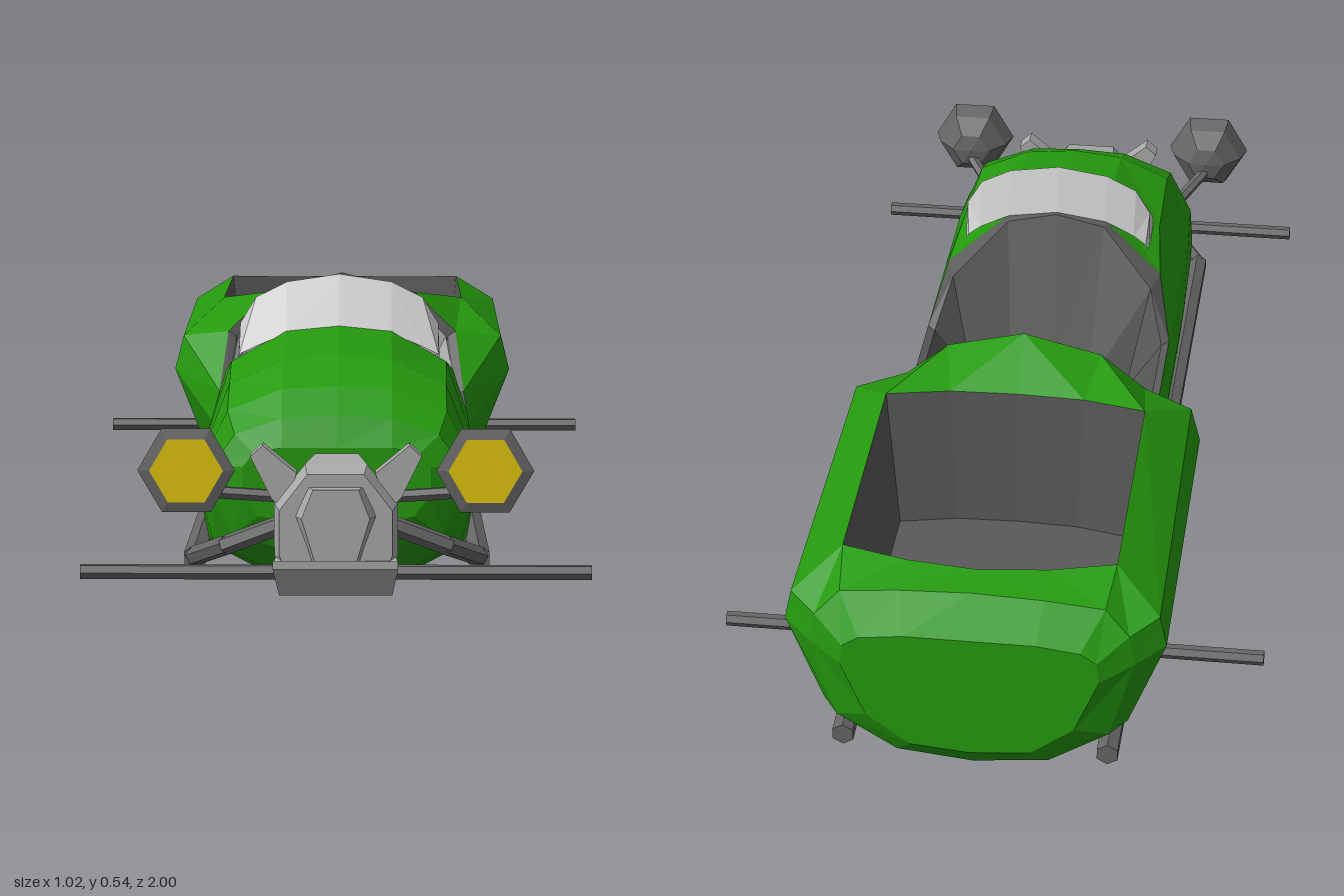
import * as THREE from 'three';

const mat = (color, side = THREE.FrontSide) =>
  new THREE.MeshStandardMaterial({ color, side, flatShading: true });
const green = mat(0x259a0e);
const iron = mat(0x666666);
const lining = mat(0x5a5a5a, THREE.DoubleSide);
const silver = mat(0xaaaaaa);
const upholstery = mat(0xaaaaaa, THREE.DoubleSide);
const glass = mat(0xcccccc, THREE.DoubleSide);
const yellow = mat(0xe0c40c);

function add(group, name, geometry, material) {
  const mesh = new THREE.Mesh(geometry, material);
  mesh.name = name;
  group.add(mesh);
  return mesh;
}

// Half section [x, y] or [x, y, own z], placed at z
const ring = (z, pts) => pts.map(([x, y, pz = z]) => [x, y, pz]);

// Skin half sections running front to back, mirrored across x = 0
function loft(rings, capFront = false, capBack = false) {
  const pos = [];
  const tri = (a, b, c) => {
    pos.push(...a, ...b, ...c);
    for (const p of [a, c, b]) pos.push(-p[0], p[1], p[2]);
  };
  const middle = (r) => [0, (r[0][1] + r.at(-1)[1]) / 2, (r[0][2] + r.at(-1)[2]) / 2];
  for (let k = 0; k < rings.length - 1; k++) {
    const f = rings[k], b = rings[k + 1];
    for (let i = 0; i < f.length - 1; i++) {
      tri(f[i], b[i], f[i + 1]);
      tri(b[i], b[i + 1], f[i + 1]);
    }
  }
  const first = rings[0], last = rings.at(-1);
  if (capFront) for (let i = 0; i < first.length - 1; i++) tri(middle(first), first[i], first[i + 1]);
  if (capBack) for (let i = 0; i < last.length - 1; i++) tri(middle(last), last[i + 1], last[i]);
  const g = new THREE.BufferGeometry();
  g.setAttribute('position', new THREE.Float32BufferAttribute(pos, 3));
  g.computeVertexNormals();
  return g;
}

// Chain of straight bars through the given points
function rods(group, name, points, r) {
  const up = new THREE.Vector3(0, 1, 0);
  for (let i = 0; i < points.length - 1; i++) {
    const a = new THREE.Vector3(...points[i]), b = new THREE.Vector3(...points[i + 1]);
    const dir = b.clone().sub(a);
    const m = add(group, name, new THREE.CylinderGeometry(r, r, dir.length() + r * 0.5, 6), iron);
    m.position.copy(a).add(b).multiplyScalar(0.5);
    m.quaternion.setFromUnitVectors(up, dir.normalize());
  }
}

export function createModel() {
  const model = new THREE.Group();
  model.name = 'sleigh';

  // Hull sections: keel, bilge, lower side, side, sill, shoulder, upper, crown
  const keel = [[0, 0.003], [0.14, 0.02], [0.25, 0.09], [0.26, 0.18], [0.25, 0.25]];
  const cowl = ring(0.16, [...keel, [0.22, 0.35, 0.26], [0.1, 0.44, 0.31], [0, 0.455, 0.315]]);
  const hump = ring(-0.1, [...keel, [0.235, 0.36, -0.2], [0.15, 0.44, -0.215], [0, 0.48, -0.22]]);

  add(model, 'hood', loft([
    ring(0.79, [[0, 0.14], [0.08, 0.145], [0.14, 0.16], [0.17, 0.2], [0.17, 0.25], [0.15, 0.275], [0.1, 0.285], [0, 0.285]]),
    ring(0.765, [[0, 0.09], [0.1, 0.095], [0.19, 0.12], [0.225, 0.19], [0.225, 0.25], [0.185, 0.305], [0.1, 0.335], [0, 0.34]]),
    ring(0.71, [[0, 0.035], [0.12, 0.045], [0.225, 0.09], [0.25, 0.18], [0.245, 0.25], [0.2, 0.34], [0.1, 0.38], [0, 0.385]]),
    ring(0.62, [[0, 0.012], [0.14, 0.025], [0.24, 0.09], [0.255, 0.18], [0.25, 0.25], [0.2, 0.375], [0.1, 0.42], [0, 0.43]]),
    ring(0.4, [...keel, [0.205, 0.385], [0.1, 0.445], [0, 0.455]]),
    cowl,
  ], true), green);

  add(model, 'middleHull', loft([ring(0.16, keel), ring(-0.1, keel)]), green);

  const side = [[0, 0.003], [0.14, 0.02], [0.28, 0.1], [0.348, 0.275], [0.33, 0.345]];
  const tailFront = ring(-0.24, [...side, [0.25, 0.41, -0.36], [0.13, 0.41, -0.335], [0, 0.41, -0.33]]);
  const tailBack = ring(-0.92, [...side.slice(0, 4), [0.335, 0.335], [0.25, 0.395, -0.85], [0.13, 0.39, -0.875], [0, 0.39, -0.89]]);
  add(model, 'rearShoulder', loft([hump, tailFront]), green);
  add(model, 'rearSides', loft([tailFront.slice(0, 6), tailBack.slice(0, 6)]), green);
  add(model, 'tail', loft([
    tailBack,
    ring(-0.965, [[0, 0.015], [0.14, 0.03], [0.25, 0.1], [0.295, 0.26], [0.285, 0.32], [0.24, 0.365, -0.95], [0.13, 0.375, -0.95], [0, 0.38, -0.95]]),
    ring(-1, [[0, 0.06], [0.11, 0.07], [0.19, 0.13], [0.235, 0.24], [0.23, 0.28], [0.2, 0.3], [0.12, 0.31], [0, 0.31]]),
  ], false, true), green);

  // Cockpit lining: edge trim around the cowl, then down to the floor
  add(model, 'cockpitLining', loft([
    [...cowl.slice(4).reverse(), ...hump.slice(4)],
    [[0, 0.455, 0.295], [0.1, 0.435, 0.29], [0.205, 0.34, 0.215], [0.235, 0.245, 0.15],
      ...ring(0, [[0.235, 0.245, -0.1], [0.22, 0.35, -0.2], [0.14, 0.43, -0.215], [0, 0.47, -0.22]])],
    ring(0, [[0, 0.12, 0.17], [0.08, 0.12, 0.17], [0.16, 0.12, 0.17], [0.165, 0.12, 0.14],
      [0.165, 0.12, -0.1], [0.16, 0.12, -0.2], [0.08, 0.12, -0.2], [0, 0.12, -0.2]]),
  ], false, true), lining);

  // Seat: rounded backrest, sloping cushion and front drop
  add(model, 'seat', loft([
    ring(-0.2, [[0, 0.47, -0.215], [0.14, 0.43, -0.21], [0.215, 0.35, -0.195], [0.235, 0.245, -0.105]]),
    ring(-0.19, [[0, 0.25], [0.09, 0.25], [0.16, 0.245], [0.205, 0.22, -0.12]]),
    ring(-0.02, [[0, 0.19], [0.09, 0.19], [0.16, 0.19], [0.175, 0.15]]),
    ring(-0.01, [[0, 0.12], [0.09, 0.12], [0.16, 0.12], [0.165, 0.12]]),
  ]), upholstery);

  // Cargo well drops from the rear rim to a floor
  const rim = [...tailFront.slice(5).reverse(), ...tailBack.slice(5)];
  add(model, 'cargoLining', loft([
    rim,
    rim.map(([x, , z]) => [x * 0.91, 0.12, -0.6 + (z + 0.6) * 0.97]),
  ], false, true), lining);

  // Windscreen: raked front, arched ridge, back face down to the cowl
  add(model, 'windscreen', loft([
    ring(0.41, [[0, 0.45], [0.1, 0.44], [0.16, 0.415], [0.19, 0.4], [0.192, 0.385, 0.39]]),
    ring(0.335, [[0, 0.545], [0.1, 0.53], [0.16, 0.5], [0.19, 0.45], [0.192, 0.385, 0.32]]),
    ring(0.305, [[0, 0.455], [0.1, 0.44], [0.16, 0.41], [0.185, 0.39], [0.19, 0.38]]),
  ]), glass);

  // Faceted nose with raised face plate
  const nose = (z, w, low, wide, high) =>
    ring(z, [[0, low], [w * 0.8, low], [w, low + 0.05], [w, wide], [w * 0.5, high], [0, high]]);
  add(model, 'noseBlock', loft([
    nose(0.95, 0.1, 0.07, 0.2, 0.265), nose(0.9, 0.11, 0.06, 0.205, 0.275), nose(0.78, 0.075, 0.07, 0.2, 0.275),
  ], true, true), silver);
  const face = (z, s) =>
    ring(z, [[0, 0.11], [0.045 * s, 0.11], [0.075 * s, 0.19], [0.05 * s, 0.242], [0, 0.242]]);
  add(model, 'facePlate', loft([face(0.975, 0.8), face(0.94, 1)], true), silver);
  add(model, 'noseTray', loft([
    ring(1, [[0, 0.105], [0.11, 0.105], [0.11, 0.12], [0, 0.12]]),
    ring(0.96, [[0, 0.05], [0.1, 0.05], [0.11, 0.11], [0, 0.11]]),
    ring(0.81, [[0, 0.05], [0.09, 0.05], [0.1, 0.11], [0, 0.11]]),
  ], true, true), silver);

  // Cross bars
  rods(model, 'frontCrossBar', [[-0.45, 0.085, 0.925], [0.45, 0.085, 0.925]], 0.014);
  rods(model, 'rearCrossBar', [[-0.508, 0.085, -0.68], [0.508, 0.085, -0.68]], 0.014);

  const ear = new THREE.Shape([[0.07, 0.26], [0.09, 0.19], [0.115, 0.215], [0.152, 0.29], [0.13, 0.31]]
    .map(([x, y]) => new THREE.Vector2(x, y)));
  const lampProfile = [[0.001, 0.872], [0.04, 0.88], [0.074, 0.915], [0.086, 0.955], [0.064, 0.96]]
    .map(([r, z]) => new THREE.Vector2(r, z));

  for (const s of [1, -1]) {
    const label = s > 0 ? 'left' : 'right';
    // Runner, curling in to the nose
    rods(model, label + 'Runner', [[s * 0.245, 0.033, -0.935], [s * 0.258, 0.08, 0.77]], 0.022);
    rods(model, label + 'RunnerCurl', [[s * 0.258, 0.083, 0.77],
      [s * 0.2, 0.115, 0.835], [s * 0.08, 0.165, 0.86]], 0.018);

    // Headlamp on a bent arm
    rods(model, label + 'LampArm', [[s * 0.265, 0.255, 0.89], [s * 0.21, 0.21, 0.825], [s * 0.07, 0.2, 0.82]], 0.012);
    const lamp = new THREE.LatheGeometry(lampProfile, 6, Math.PI / 2).rotateX(Math.PI / 2);
    add(model, label + 'HeadlampShell', lamp, iron).position.set(s * 0.263, 0.273, 0);
    add(model, label + 'HeadlampLens', new THREE.CircleGeometry(0.065, 6), yellow)
      .position.set(s * 0.263, 0.273, 0.96);

    // Ear beside the nose
    const earGeometry = new THREE.ExtrudeGeometry(ear, { depth: 0.035, bevelEnabled: false });
    if (s < 0) earGeometry.rotateY(Math.PI).translate(0, 0, 0.035);
    add(model, label + 'Ear', earGeometry, silver).position.z = 0.875;
  }
  return model;
}
